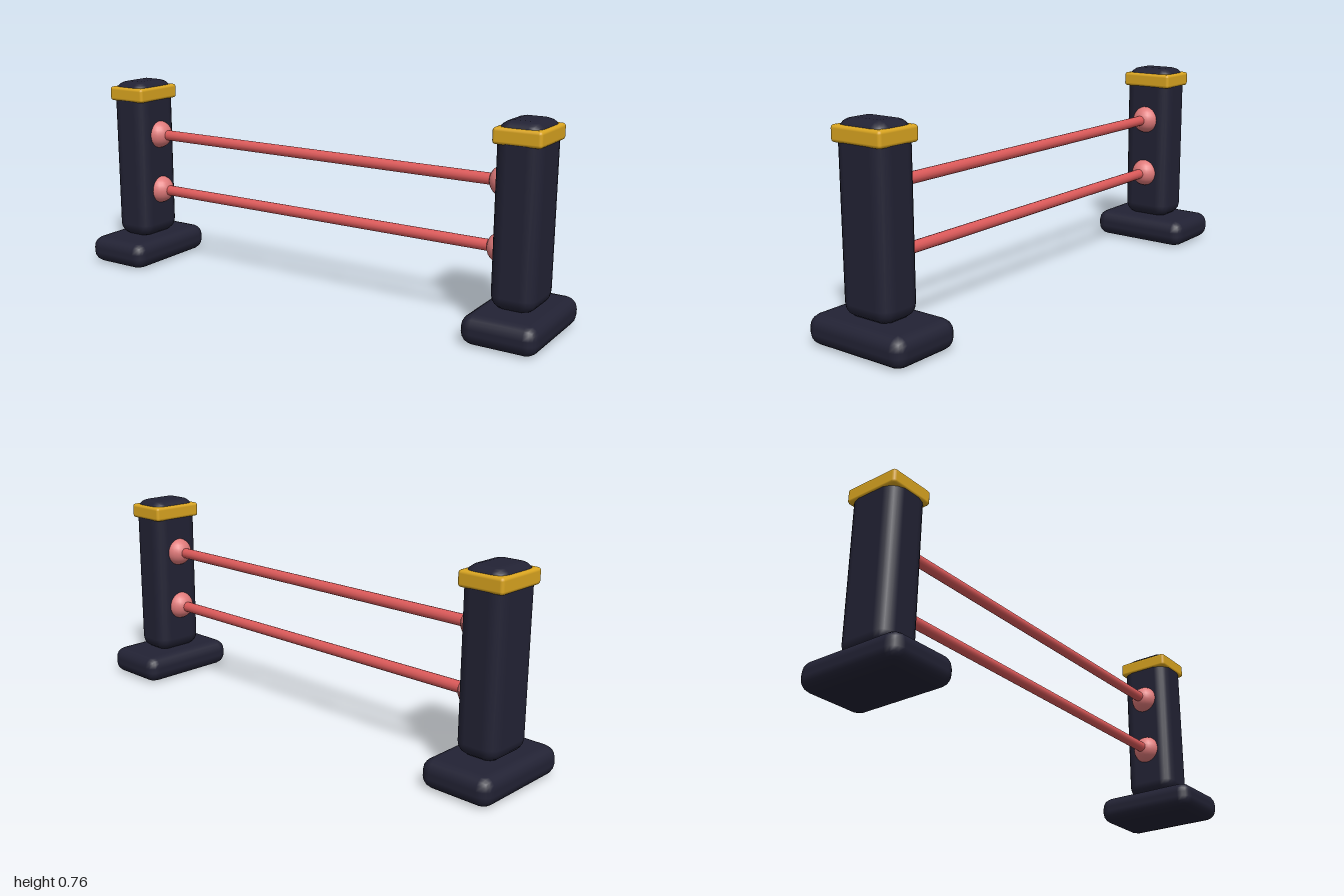
import * as THREE from 'three';
import { RoundedBoxGeometry } from 'three/addons/geometries/RoundedBoxGeometry.js';

const mat = (name, color) => {
  const m = new THREE.MeshStandardMaterial({ color });
  m.name = name;
  return m;
};

export function createModel() {
  const model = new THREE.Group();
  model.name = 'barrier';
  const navy = mat('darkNavy', 0x222234);
  const gold = mat('gold', 0xdaa520);
  const red = mat('railRed', 0xdc5a5a);
  const pink = mat('socketPink', 0xe07a7a);

  const add = (parent, name, geometry, material, x, y, z = 0) => {
    const mesh = new THREE.Mesh(geometry, material);
    mesh.name = name;
    mesh.position.set(x, y, z);
    parent.add(mesh);
    return mesh;
  };

  const railHeights = [0.303, 0.54];
  const baseGeo = new RoundedBoxGeometry(0.28, 0.108, 0.428, 2, 0.045);
  const postGeo = new RoundedBoxGeometry(0.168, 0.658, 0.214, 2, 0.05);
  const bandGeo = new RoundedBoxGeometry(0.176, 0.058, 0.22, 2, 0.012);
  const socketGeo = new THREE.SphereGeometry(0.057, 20, 14);
  const railGeo = new THREE.CylinderGeometry(0.021, 0.021, 1.56, 16);

  // Two mirrored posts, each with a foot, a gold band and rail sockets
  for (const side of [-1, 1]) {
    const post = new THREE.Group();
    post.name = side > 0 ? 'leftPost' : 'rightPost';
    add(post, 'foot', baseGeo, navy, side * 0.86, 0.054);
    add(post, 'column', postGeo, navy, side * 0.86, 0.434);
    add(post, 'band', bandGeo, gold, side * 0.86, 0.712);
    for (const y of railHeights) add(post, 'railSocket', socketGeo, pink, side * 0.784, y);
    model.add(post);
  }

  // Horizontal rails between the posts
  for (const y of railHeights) {
    add(model, 'rail', railGeo, red, 0, y).rotation.z = Math.PI / 2;
  }
  return model;
}
